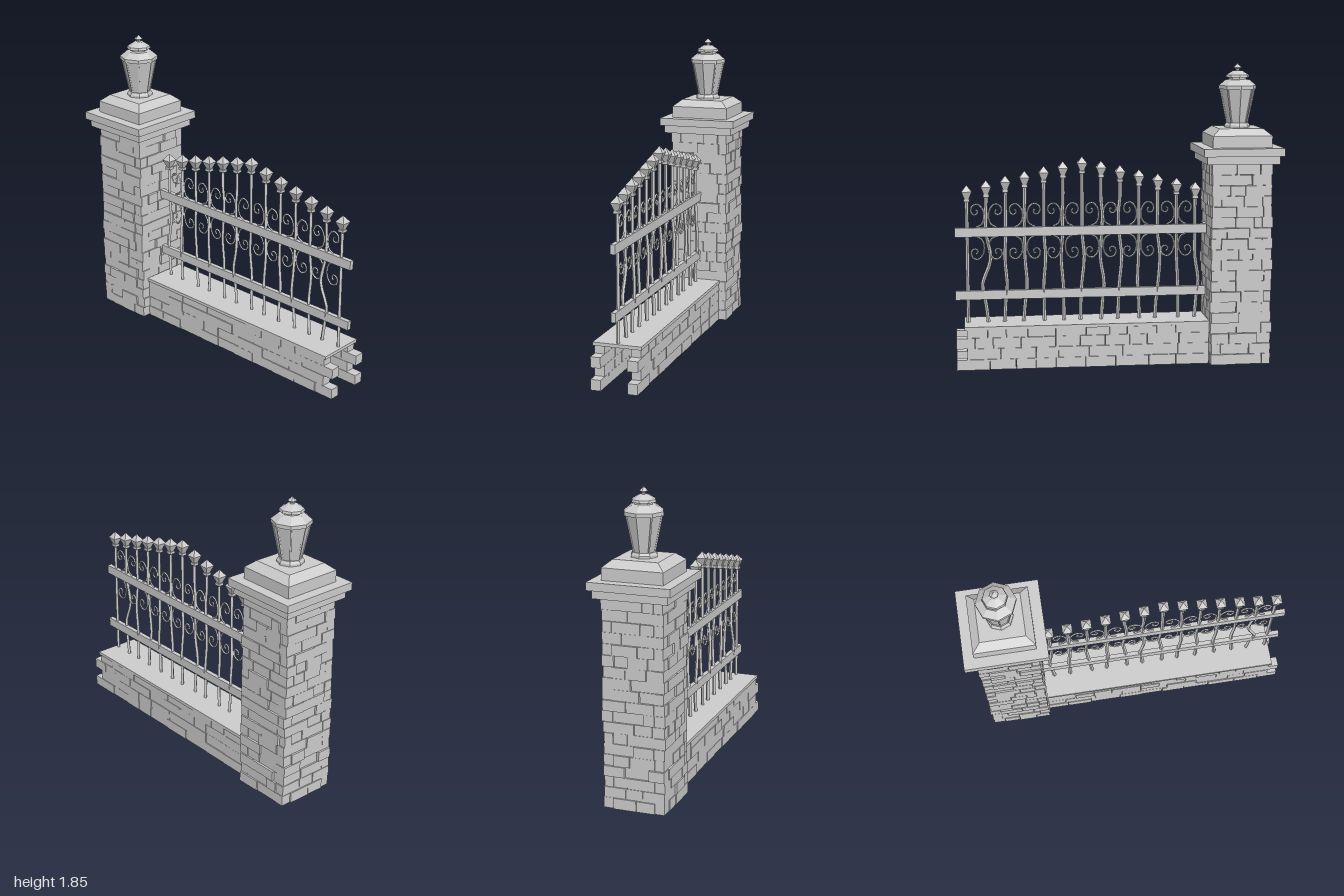
import * as THREE from 'three';
import { mergeGeometries } from 'three/addons/utils/BufferGeometryUtils.js';

const material = new THREE.MeshStandardMaterial({ color: 0xcccccc, flatShading: true });
const doubleSided = new THREE.MeshStandardMaterial({ color: 0xcccccc, flatShading: true, side: THREE.DoubleSide });

let seed = 7;
const random = () => (seed = (seed * 16807) % 2147483647) / 2147483647;
const spread = (a) => (random() * 2 - 1) * a;

function addMesh(parent, name, geometry, mat = material) {
  const mesh = new THREE.Mesh(geometry, mat);
  mesh.name = name;
  parent.add(mesh);
  return mesh;
}

// Box given by its lower and upper corners
function block(x0, x1, y0, y1, z0, z1) {
  return new THREE.BoxGeometry(x1 - x0, y1 - y0, z1 - z0)
    .translate((x0 + x1) / 2, (y0 + y1) / 2, (z0 + z1) / 2);
}

// Four-sided frustum, half widths at bottom and top
function frustum(bottom, top, y0, y1) {
  return new THREE.CylinderGeometry(top * Math.SQRT2, bottom * Math.SQRT2, y1 - y0, 4)
    .rotateY(Math.PI / 4).translate(0, (y0 + y1) / 2, 0);
}

// One row of uneven bricks along x, outer face near z = depth
function brickRow(x0, x1, y0, y1, depth, thickness, minLength, maxLength, rough) {
  const bricks = [];
  const gap = 0.0015;
  let x = x0;
  while (x < x1 - 0.001) {
    let end = x + minLength + random() * (maxLength - minLength);
    if (x1 - end < minLength * 0.6) end = x1;
    bricks.push(block(x + gap, end - gap, y0 + gap * 0.5, y1 - gap * 0.5 + spread(rough * 0.2),
      depth - thickness, depth + spread(rough)));
    x = end;
  }
  return bricks;
}

// Tube with a square section through points
function squareBar(points, radius, segments) {
  const curve = new THREE.CatmullRomCurve3(points, false, 'centripetal');
  return new THREE.TubeGeometry(curve, segments, radius, 4, false);
}

const PILLAR_X = -0.75;

function createPillar() {
  const pillar = new THREE.Group();
  pillar.name = 'pillar';
  pillar.position.x = PILLAR_X;

  // Hollow brick shaft, corners interlocked on alternate courses
  const half = 0.188, thickness = 0.06, courses = 19, h = 1.25 / courses;
  const bricks = [];
  for (let i = 0; i < courses; i++) {
    for (let side = 0; side < 4; side++) {
      const long = (i + side) % 2 === 0;
      const reach = long ? half : half - thickness;
      for (const brick of brickRow(-reach, reach, i * h, (i + 1) * h, half, thickness, 0.075, 0.19, 0.008)) {
        bricks.push(brick.rotateY(side * Math.PI / 2));
      }
    }
  }
  addMesh(pillar, 'pillarBricks', mergeGeometries(bricks));

  // Stepped cap with a bevelled top
  addMesh(pillar, 'capLowerSlab', frustum(0.225, 0.225, 1.25, 1.3));
  addMesh(pillar, 'capUpperSlab', frustum(0.249, 0.249, 1.3, 1.348));
  addMesh(pillar, 'capBlock', frustum(0.184, 0.184, 1.348, 1.42));
  addMesh(pillar, 'capBevel', frustum(0.184, 0.135, 1.42, 1.462));
  return pillar;
}

function createLantern() {
  const lantern = new THREE.Group();
  lantern.name = 'lantern';
  lantern.position.x = PILLAR_X;
  const turned = (name, profile, sides = 8) => addMesh(lantern, name,
    new THREE.LatheGeometry(profile.map(([r, y]) => new THREE.Vector2(r, y)), sides));
  turned('lanternFoot', [[0, 1.46], [0.08, 1.46], [0.08, 1.475], [0.07, 1.49], [0, 1.49]]);
  turned('lanternBody', [[0, 1.485], [0.062, 1.485], [0.107, 1.7], [0, 1.7]]);
  turned('lanternRoof', [[0, 1.698], [0.118, 1.698], [0.118, 1.72], [0.075, 1.755], [0.055, 1.758],
    [0.055, 1.768], [0.074, 1.77], [0.07, 1.785], [0.03, 1.81], [0, 1.812]]);
  turned('lanternFinial', [[0, 1.805], [0.012, 1.805], [0.012, 1.822], [0.026, 1.83], [0.01, 1.845], [0, 1.855]]);
  // Ribs along the corners of the glass
  for (let i = 0; i < 8; i++) {
    const a = i * Math.PI / 4;
    const at = (r, y) => new THREE.Vector3(Math.sin(a) * r, y, Math.cos(a) * r);
    addMesh(lantern, 'lanternRib', new THREE.TubeGeometry(
      new THREE.LineCurve3(at(0.062, 1.485), at(0.107, 1.7)), 1, 0.006, 4));
  }
  return lantern;
}

function createWall() {
  const wall = new THREE.Group();
  wall.name = 'lowWall';
  // Two brick faces with an open core, toothed at the free end
  const levels = [0, 0.066, 0.134, 0.2, 0.25];
  const bricks = [];
  for (const side of [1, -1]) {
    for (let i = 0; i < 4; i++) {
      const end = i % 2 ? 0.935 : 1;
      const row = brickRow(-0.56, end, levels[i], levels[i + 1], 0.141, 0.06, 0.11, 0.22, 0.004);
      for (const brick of row) {
        if (side < 0) brick.rotateY(Math.PI).translate(end - 0.56, 0, 0);
        bricks.push(brick);
      }
    }
  }
  addMesh(wall, 'wallBricks', mergeGeometries(bricks));
  addMesh(wall, 'wallCoping', block(-0.56, 0.948, 0.25, 0.27, -0.148, 0.148));
  return wall;
}

function createFence() {
  const fence = new THREE.Group();
  fence.name = 'ironFence';
  addMesh(fence, 'upperRail', block(-0.562, 1, 0.803, 0.86, -0.014, 0.014));
  addMesh(fence, 'lowerRail', block(-0.562, 1, 0.412, 0.468, -0.014, 0.014));

  // Sideways bends of each bar at heights 0.95, 0.66, 0.5 and 0.26
  const bends = [
    [0, 0, -0.022, 0], [0, -0.004, -0.012, -0.014], [0, -0.014, -0.004, 0.016], [0, 0, 0.006, -0.006],
    [0.01, -0.01, 0.004, 0.014], [-0.008, 0.004, -0.02, 0], [0, -0.012, 0.004, 0.012], [0.004, 0.012, 0, -0.004],
    [0, -0.008, 0.004, 0], [0.004, 0, -0.012, 0.012], [0, 0.006, -0.006, 0.012], [0.004, -0.024, 0.028, -0.008],
    [0, 0, 0, 0],
  ];
  const barX = (i) => -0.49 + i * 0.1178;

  bends.forEach((bend, i) => {
    const x = barX(i);
    const tip = 1.289 - Math.abs(i - 6) * 0.0277;
    const bow = i === 12 ? 0 : (i % 2 ? 0.008 : -0.008);
    const points = [
      [0, tip - 0.08, 0], [0, 1.02, 0], [bend[0], 0.95, 0], [bend[0] / 2, 0.82, 0],
      [bend[1], 0.66, bow], [bend[2], 0.5, bow], [(bend[2] + bend[3]) / 2, 0.4, 0], [bend[3], 0.255, 0],
    ].map(([dx, y, z]) => new THREE.Vector3(x + dx, y, z));
    addMesh(fence, 'bar', squareBar(points, 0.0115, 16), doubleSided);

    // Spearhead: collar, flared lower half and pyramid point
    const head = mergeGeometries([
      frustum(0.018, 0.018, -0.102, -0.086),
      frustum(0.013, 0.031, -0.086, -0.04),
      frustum(0.031, 0.0005, -0.04, 0),
    ]);
    addMesh(fence, 'spearhead', head).position.set(x, tip, 0);
  });

  // Curled scrolls on both sides of every second bar, above and below the upper rail
  const curl = [[0.06, 0.028], [0.028, 0.046], [0.014, 0.09], [0.024, 0.138], [0.052, 0.164], [0.083, 0.155],
    [0.094, 0.128], [0.082, 0.104], [0.06, 0.104], [0.053, 0.122], [0.064, 0.132]];
  for (let i = 1; i < 13; i += 2) {
    for (const sx of [1, -1]) {
      for (const sy of [1, -1]) {
        const points = curl.map(([dx, dy]) => new THREE.Vector3(barX(i) + sx * dx, 0.832 + sy * dy * 1.04, 0));
        addMesh(fence, 'scroll', squareBar(points, 0.006, 30), doubleSided);
      }
    }
  }
  return fence;
}

export function createModel() {
  seed = 7;
  const model = new THREE.Group();
  model.name = 'gardenFence';
  model.add(createPillar(), createLantern(), createWall(), createFence());
  return model;
}
